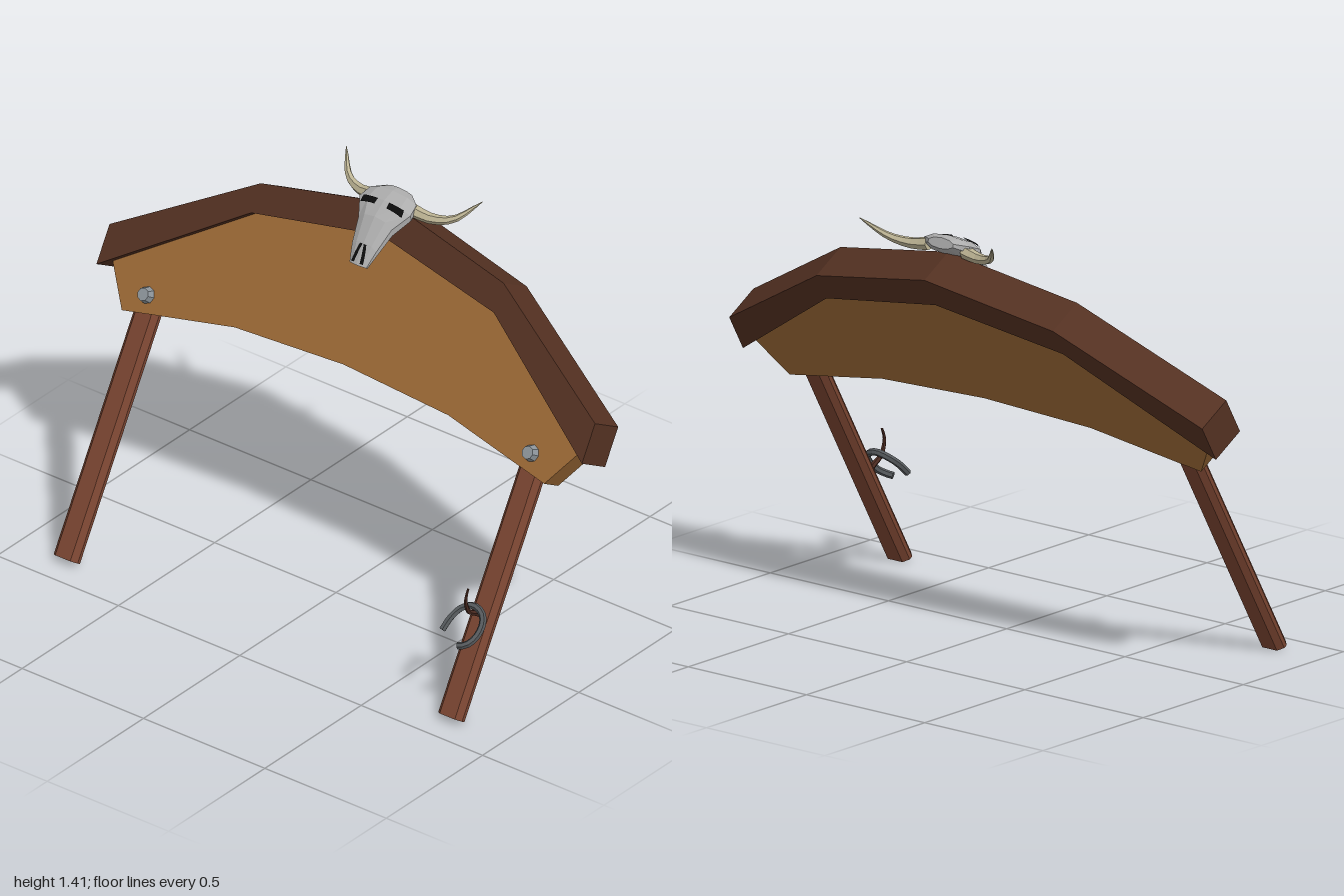
import * as THREE from 'three';

const V = (x, y, z) => new THREE.Vector3(x, y, z);
const mat = (color, extra = {}) =>
  new THREE.MeshStandardMaterial({ color, flatShading: true, ...extra });

const boardMat = mat(0x9c6936);
const roofMat = mat(0x543122);
const postMat = mat(0x7a4531);
const steelMat = mat(0x8d959b);
const ironMat = mat(0x55595c);
const spikeMat = mat(0x4a2a20);
const boneMat = mat(0xadadad);
const hornMat = mat(0xbdb494);
const holeMat = mat(0x0c0c0c, { side: THREE.DoubleSide });

function add(parent, name, geometry, material) {
  const mesh = new THREE.Mesh(geometry, material);
  mesh.name = name;
  parent.add(mesh);
  return mesh;
}

// Skin a list of equal rings and close both ends
function loft(rings) {
  const n = rings[0].length, pos = [], idx = [];
  rings.forEach(r => r.forEach(p => pos.push(p.x, p.y, p.z)));
  for (let j = 0; j < rings.length - 1; j++) {
    for (let i = 0; i < n; i++) {
      const a = j * n + i, b = j * n + (i + 1) % n;
      idx.push(a, b, b + n, a, b + n, a + n);
    }
  }
  const last = (rings.length - 1) * n;
  for (let i = 1; i < n - 1; i++) {
    idx.push(0, i + 1, i, last, last + i, last + i + 1);
  }
  const g = new THREE.BufferGeometry();
  g.setAttribute('position', new THREE.Float32BufferAttribute(pos, 3));
  g.setIndex(idx);
  g.computeVertexNormals();
  return g;
}

// Round bar along a smooth path, with a radius that varies along it
function bar(points, radius, steps, sides) {
  const curve = new THREE.CatmullRomCurve3(points);
  const frames = curve.computeFrenetFrames(steps);
  const rings = [];
  for (let j = 0; j <= steps; j++) {
    const c = curve.getPointAt(j / steps), r = radius(j / steps), ring = [];
    for (let i = 0; i < sides; i++) {
      const a = i / sides * Math.PI * 2;
      ring.push(c.clone()
        .addScaledVector(frames.normals[j], r * Math.cos(a))
        .addScaledVector(frames.binormals[j], r * Math.sin(a)));
    }
    rings.push(ring);
  }
  return loft(rings);
}

// Extruded outline, mirrored in x; both edges listed from the middle outwards
function slab(top, bottom, back, front) {
  const right = [...bottom, ...[...top].reverse()];
  const left = [...top.slice(1), ...[...bottom].reverse().slice(0, -1)].map(([x, y]) => [-x, y]);
  const shape = new THREE.Shape([...right, ...left].map(p => new THREE.Vector2(...p)));
  const g = new THREE.ExtrudeGeometry(shape, { depth: front - back, bevelEnabled: false });
  return g.translate(0, 0, back);
}

// Skull stations: front z, front y, back z, back y, half width
const STATIONS = [
  [-0.094, 1.198, -0.12, 1.185, 0.036],
  [-0.135, 1.264, -0.138, 1.207, 0.052],
  [-0.19, 1.336, -0.198, 1.257, 0.072],
  [-0.24, 1.373, -0.253, 1.308, 0.11],
  [-0.285, 1.389, -0.293, 1.325, 0.1],
  [-0.315, 1.386, -0.326, 1.352, 0.055],
];
function skullPoint(t, a, lift = 0) {
  const j = Math.min(Math.floor(t), STATIONS.length - 2);
  const [zf, yf, zb, yb, w] = STATIONS[j].map((v, k) =>
    THREE.MathUtils.lerp(v, STATIONS[j + 1][k], t - j));
  const f = 0.5 + 0.5 * Math.cos(a);
  return V(Math.sin(a) * w * (1 + lift),
    THREE.MathUtils.lerp(yb, yf, f + lift), THREE.MathUtils.lerp(zb, zf, f + lift));
}

// Dark opening lying just above the skull, between angles that change along it
function opening(side, t0, t1, lower, upper) {
  const pos = [], idx = [], n = 4;
  for (let j = 0; j <= n; j++) {
    for (let i = 0; i <= n; i++) {
      const a0 = THREE.MathUtils.lerp(lower[0], upper[0], j / n);
      const a1 = THREE.MathUtils.lerp(lower[1], upper[1], j / n);
      const t = THREE.MathUtils.lerp(t0, t1, j / n);
      pos.push(...skullPoint(t, side * THREE.MathUtils.lerp(a0, a1, i / n), 0.06).toArray());
      if (i < n && j < n) {
        const k = j * (n + 1) + i;
        idx.push(k, k + 1, k + n + 2, k, k + n + 2, k + n + 1);
      }
    }
  }
  const g = new THREE.BufferGeometry();
  g.setAttribute('position', new THREE.Float32BufferAttribute(pos, 3));
  g.setIndex(idx);
  g.computeVertexNormals();
  return g;
}

function createSkull() {
  const skull = new THREE.Group();
  skull.name = 'cattleSkull';
  skull.position.x = 0.008;
  const rings = STATIONS.map((_, j) =>
    Array.from({ length: 10 }, (__, i) => skullPoint(j, i / 10 * Math.PI * 2)));
  add(skull, 'skullBone', loft(rings), boneMat);
  for (const s of [1, -1]) {
    const side = s > 0 ? 'left' : 'right';
    add(skull, side + 'EyeSocket', opening(s, 2.6, 2.95, [0.25, 1], [0.2, 0.8]), holeMat);
    add(skull, side + 'Nostril', opening(s, 0.1, 0.9, [0.3, 0.65], [0.05, 0.25]), holeMat);
    // The left horn reaches a little further
    const k = s > 0 ? 1 : -0.9;
    add(skull, side + 'Horn', bar([
      V(k * 0.08, 1.345, -0.285), V(k * 0.15, 1.336, -0.292),
      V(k * 0.225, 1.35, -0.315), V(k * 0.295, 1.412, -0.378),
    ], t => 0.022 * (1 - t) ** 0.75 + 0.001, 8, 6), hornMat);
  }
  return skull;
}

export function createModel() {
  const model = new THREE.Group();
  model.name = 'leaningSign';

  // Everything wooden shares one backward lean
  const frame = new THREE.Group();
  frame.name = 'signFrame';
  frame.position.z = 0.385;
  frame.rotation.x = -Math.PI / 6;
  model.add(frame);

  add(frame, 'signBoard', slab(
    [[0, 1.4], [0.5, 1.3], [0.965, 0.975]],
    [[0, 0.944], [0.44, 0.921], [0.87, 0.833]], -0.029, 0.055), boardMat);
  add(frame, 'roofBeam', slab(
    [[0, 1.494], [0.5, 1.391], [1, 1.081]],
    [[0, 1.384], [0.5, 1.29], [1, 0.944]], -0.057, 0.082), roofMat);

  // Posts with chamfered corners
  const c = 0.018, w = 0.049, d = 0.025;
  const section = [[w, -d + c], [w, d - c], [w - c, d], [c - w, d],
    [-w, d - c], [-w, c - d], [c - w, -d], [w - c, -d]];
  for (const [x, side] of [[-0.798, 'right'], [0.786, 'left']]) {
    const post = add(frame, side + 'Post', loft([0.01, 0.95].map(y =>
      section.map(([px, pz]) => V(px, y, pz)).reverse())), postMat);
    post.position.set(x, 0, 0.014);

    const bolt = add(frame, side + 'Bolt',
      new THREE.CylinderGeometry(0.022, 0.03, 0.03, 8), steelMat);
    bolt.rotation.x = Math.PI / 2;
    bolt.position.set(x + 0.002, 0.91, 0.066);
  }

  // Bent spike carrying the horseshoe
  add(model, 'spike', bar([
    V(0.787, 0.32, 0.22), V(0.787, 0.352, 0.27), V(0.787, 0.372, 0.303),
    V(0.788, 0.425, 0.32), V(0.789, 0.46, 0.308),
  ], t => 0.013 - 0.009 * t, 10, 6), spikeMat);
  add(model, 'horseshoe', bar([
    V(0.727, 0.31, 0.365), V(0.735, 0.345, 0.33), V(0.755, 0.373, 0.297),
    V(0.79, 0.386, 0.283), V(0.83, 0.373, 0.288), V(0.846, 0.345, 0.307),
    V(0.843, 0.31, 0.34), V(0.825, 0.29, 0.368), V(0.8, 0.284, 0.378),
  ], () => 0.012, 18, 6), ironMat);

  model.add(createSkull());
  return model;
}
